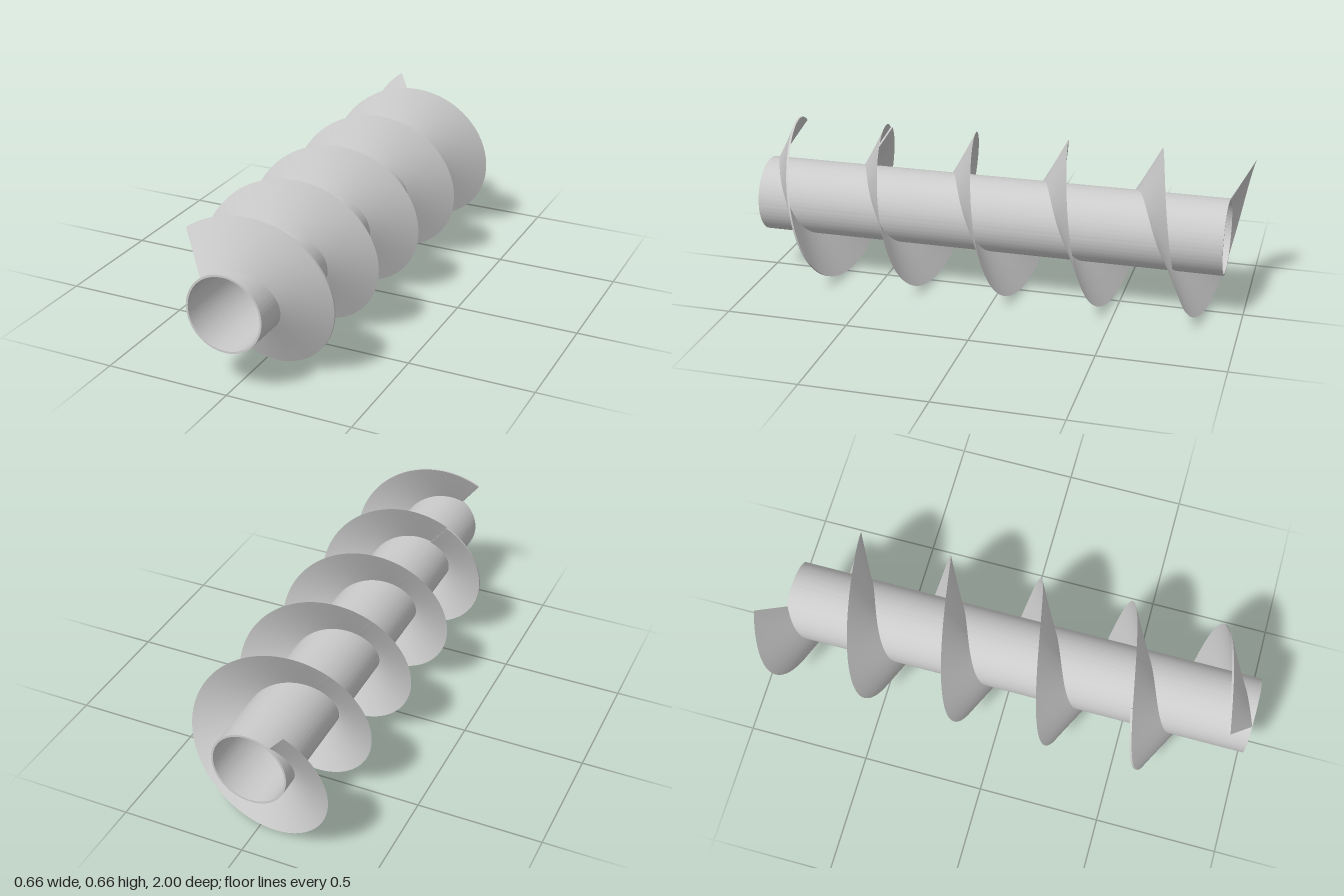
import * as THREE from 'three';
import { mergeGeometries, toCreasedNormals } from 'three/addons/utils/BufferGeometryUtils.js';

const AXIS_Y = 0.328, R_OUT = 0.328, R_TUBE = 0.153, R_BORE = 0.145;
const PITCH = 0.383, START = THREE.MathUtils.degToRad(125.4), STEPS = 96;
const Z_START = 0.915; // rim of the flight at its front end
const RAKE = 0.085;    // the root sits this far ahead of the rim
const THICK = 0.008;

// Point on the screw after a number of turns; section = [radius, z offset]
function helixPoint([r, dz], turns) {
  const a = START - turns * Math.PI * 2;
  return [r * Math.cos(a), r * Math.sin(a), Z_START + dz - turns * PITCH];
}

// Ribbon swept along the helix between section points a and b
function ribbon(a, b, from, to) {
  const n = Math.round((to - from) * STEPS), pos = [], index = [];
  for (let i = 0; i <= n; i++) {
    const t = from + (to - from) * i / n;
    pos.push(...helixPoint(a, t), ...helixPoint(b, t));
    if (i < n) {
      const k = i * 2;
      index.push(k, k + 2, k + 3, k, k + 3, k + 1);
    }
  }
  const g = new THREE.BufferGeometry();
  g.setAttribute('position', new THREE.Float32BufferAttribute(pos, 3));
  g.setIndex(index);
  g.computeVertexNormals();
  return g;
}

// Flat end closing a solid flight
function endCap(section, turns) {
  const g = new THREE.BufferGeometry();
  const pos = section.flatMap(p => helixPoint(p, turns));
  g.setAttribute('position', new THREE.Float32BufferAttribute(pos, 3));
  g.setIndex([0, 1, 2, 0, 2, 3]);
  g.computeVertexNormals();
  return g;
}

export function createModel() {
  const group = new THREE.Group();
  const grey = new THREE.MeshStandardMaterial({ color: 0xcccccc });
  const sheet = new THREE.MeshStandardMaterial({ color: 0xcccccc, side: THREE.DoubleSide });
  const add = (name, geometry, material) => {
    const mesh = new THREE.Mesh(geometry, material);
    mesh.name = name;
    mesh.position.y = AXIS_Y;
    group.add(mesh);
    return mesh;
  };

  // Hollow core tube
  const ring = new THREE.Shape().absarc(0, 0, R_TUBE, 0, Math.PI * 2);
  ring.holes.push(new THREE.Path().absarc(0, 0, R_BORE, 0, Math.PI * 2, true));
  const tube = new THREE.ExtrudeGeometry(ring, { depth: 1.92, bevelEnabled: false, curveSegments: 72 });
  add('coreTube', toCreasedNormals(tube, 0.5), grey).position.z = -0.92;

  // First turn: thin solid plate
  const root = [R_TUBE, RAKE], rim = [R_OUT, 0];
  const section = [root, rim, [R_OUT, -THICK], [R_TUBE, RAKE - THICK]];
  const sides = section.map((p, i) => ribbon(p, section[(i + 1) % 4], 0, 1));
  const plate = mergeGeometries([...sides, endCap(section, 0), endCap([...section].reverse(), 1)]);
  add('firstFlight', plate, grey);

  // Remaining four turns: open sheets
  for (let i = 1; i < 5; i++) add('flight' + (i + 1), ribbon(root, rim, i, i + 1), sheet);

  return group;
}
